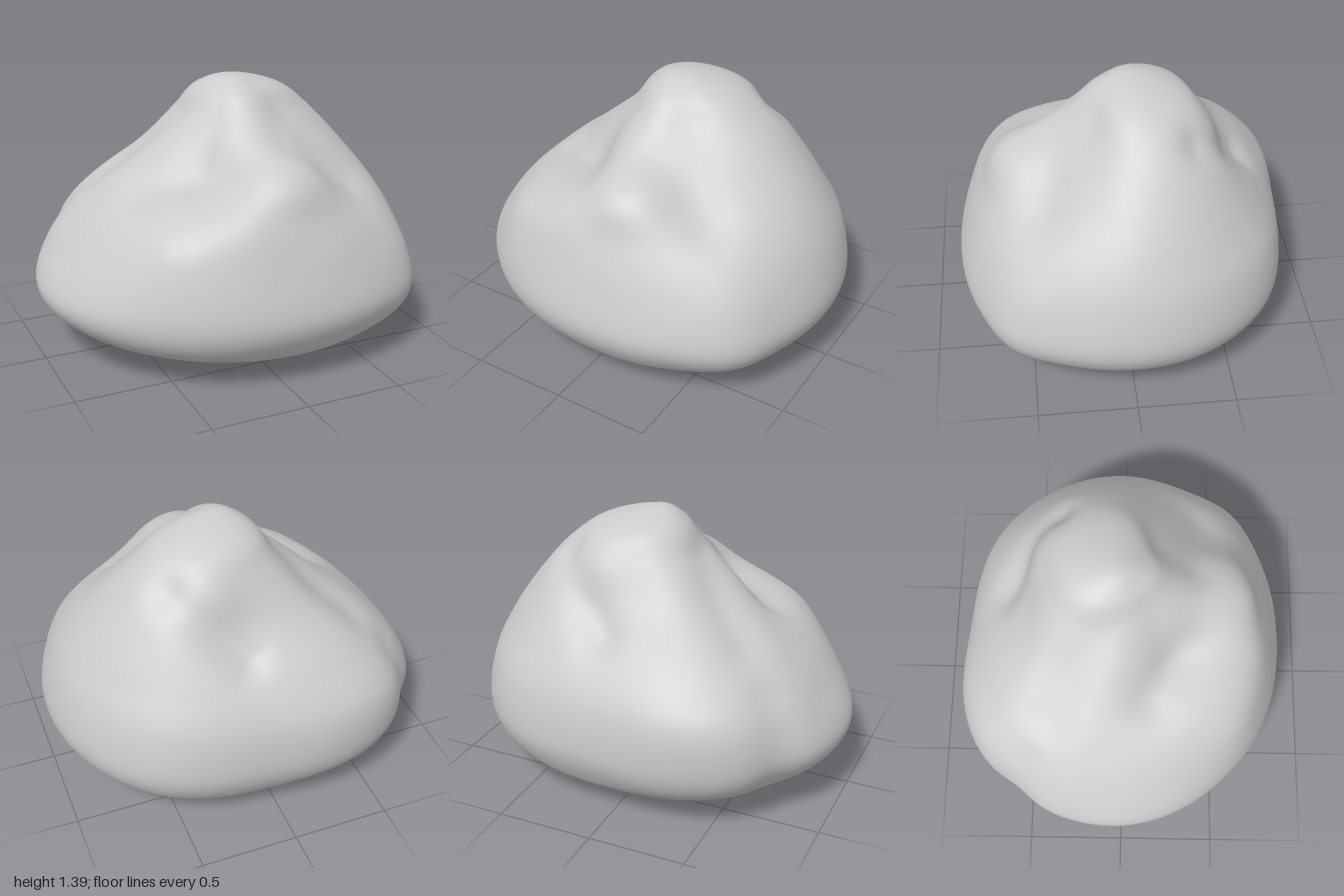
import * as THREE from 'three';

// Horizontal cross-sections: height, then radius every 45 degrees from +x towards +z.
const SECTIONS = [
  [0.045, .48, .48, .47, .44, .42, .43, .45, .47],
  [0.11, .73, .75, .73, .72, .71, .72, .67, .71],
  [0.20, .87, .89, .84, .90, .95, .91, .76, .83],
  [0.36, .94, .96, .90, .97, 1.05, .99, .81, .89],
  [0.60, .89, .88, .84, .91, .91, .96, .78, .85],
  [0.80, .79, .75, .75, .76, .72, .78, .66, .74],
  [1.00, .64, .53, .63, .43, .48, .53, .48, .61],
  [1.20, .45, .30, .32, .24, .26, .33, .36, .47],
  [1.33, .27, .18, .17, .14, .15, .20, .24, .28],
];
const TOP = 1.395, DIRS = 8, SPANS = SECTIONS.length + 1;

// Soft grooves (negative) and swellings (positive) along a line.
const feature = (from, to, depth, width) => ({
  line: new THREE.Line3(new THREE.Vector3(...from), new THREE.Vector3(...to)), depth, width,
});
const FEATURES = [
  feature([-.42, .82, .14], [-.10, .94, .34], -.09, .15),   // hollow behind the front ledge
  feature([-.45, .70, .55], [-.15, .80, .62], .03, .16),    // front ledge
  feature([.18, 1.08, .36], [.50, .88, .42], -.035, .14),   // front hollow
  feature([.12, .95, .60], [.20, .93, .55], .02, .16),      // front shoulder
  feature([-.55, .85, -.38], [-.15, 1.15, -.15], -.035, .12), // side groove
  feature([.42, 1.18, -.34], [.12, .88, -.60], -.045, .10), // rear crease
  feature([.76, .28, .58], [.72, .52, .55], .035, .20),     // front corner
  feature([-.80, .25, -.56], [-.72, .62, -.50], -.03, .13), // notch beside the rear corner
];

const catmull = (a, b, c, d, t) =>
  0.5 * (2 * b + (c - a) * t + (2 * a - 5 * b + 4 * c - d) * t * t + (3 * b - a - 3 * c + d) * t * t * t);

// The poles have no radius; past a pole the neighbour continues on the opposite side.
function section(i) {
  if (i === 0 || i === SPANS) return [i ? TOP : 0, ...Array(DIRS).fill(0)];
  if (i > 0 && i < SPANS) return SECTIONS[i - 1];
  const s = section(i < 0 ? -i : 2 * SPANS - i);
  return s.map((v, k) => (k ? -s[1 + (k + DIRS / 2 - 1) % DIRS] : v));
}

function radiusAround(s, u) {
  const k = Math.floor(u), at = (n) => s[1 + (n + DIRS) % DIRS];
  return catmull(at(k - 1), at(k), at(k + 1), at(k + 2), u - k);
}

function rockGeometry(rings, sides) {
  const positions = [], indices = [], core = new THREE.Vector3(0, 0.45, 0);
  const p = new THREE.Vector3(), near = new THREE.Vector3(), out = new THREE.Vector3();
  for (let i = 0; i <= rings; i++) {
    const v = i / rings * SPANS;
    const k = Math.min(Math.floor(v), SPANS - 1), t = v - k;
    const s = [k - 1, k, k + 1, k + 2].map(section);
    const y = catmull(...s.map((row) => row[0]), t);
    for (let j = 0; j < sides; j++) {
      const u = j / sides * DIRS, angle = j / sides * Math.PI * 2;
      const r = catmull(...s.map((row) => radiusAround(row, u)), t);
      p.set(0.06 + r * Math.cos(angle), y, -0.04 + r * Math.sin(angle));
      out.subVectors(p, core).normalize();
      let push = 0;
      for (const { line, depth, width } of FEATURES) {
        line.closestPointToPoint(p, true, near);
        push += depth * Math.exp(-near.distanceToSquared(p) / (width * width));
      }
      p.addScaledVector(out, push);
      positions.push(p.x, p.y, p.z);
      if (i < rings) {
        const a = i * sides + j, b = i * sides + (j + 1) % sides;
        indices.push(a, a + sides, b, b, a + sides, b + sides);
      }
    }
  }
  const geometry = new THREE.BufferGeometry();
  geometry.setAttribute('position', new THREE.Float32BufferAttribute(positions, 3));
  geometry.setIndex(indices);
  geometry.computeVertexNormals();
  // Shared normals at the two poles
  const normals = geometry.attributes.normal;
  for (let j = 0; j < sides; j++) {
    normals.setXYZ(j, 0, -1, 0);
    normals.setXYZ(rings * sides + j, 0, 1, 0);
  }
  return geometry;
}

export function createModel() {
  const group = new THREE.Group();
  group.name = 'boulder';
  const rock = new THREE.Mesh(rockGeometry(110, 144), new THREE.MeshStandardMaterial({ color: 0xcccccc }));
  rock.name = 'rock';
  group.add(rock);
  return group;
}
